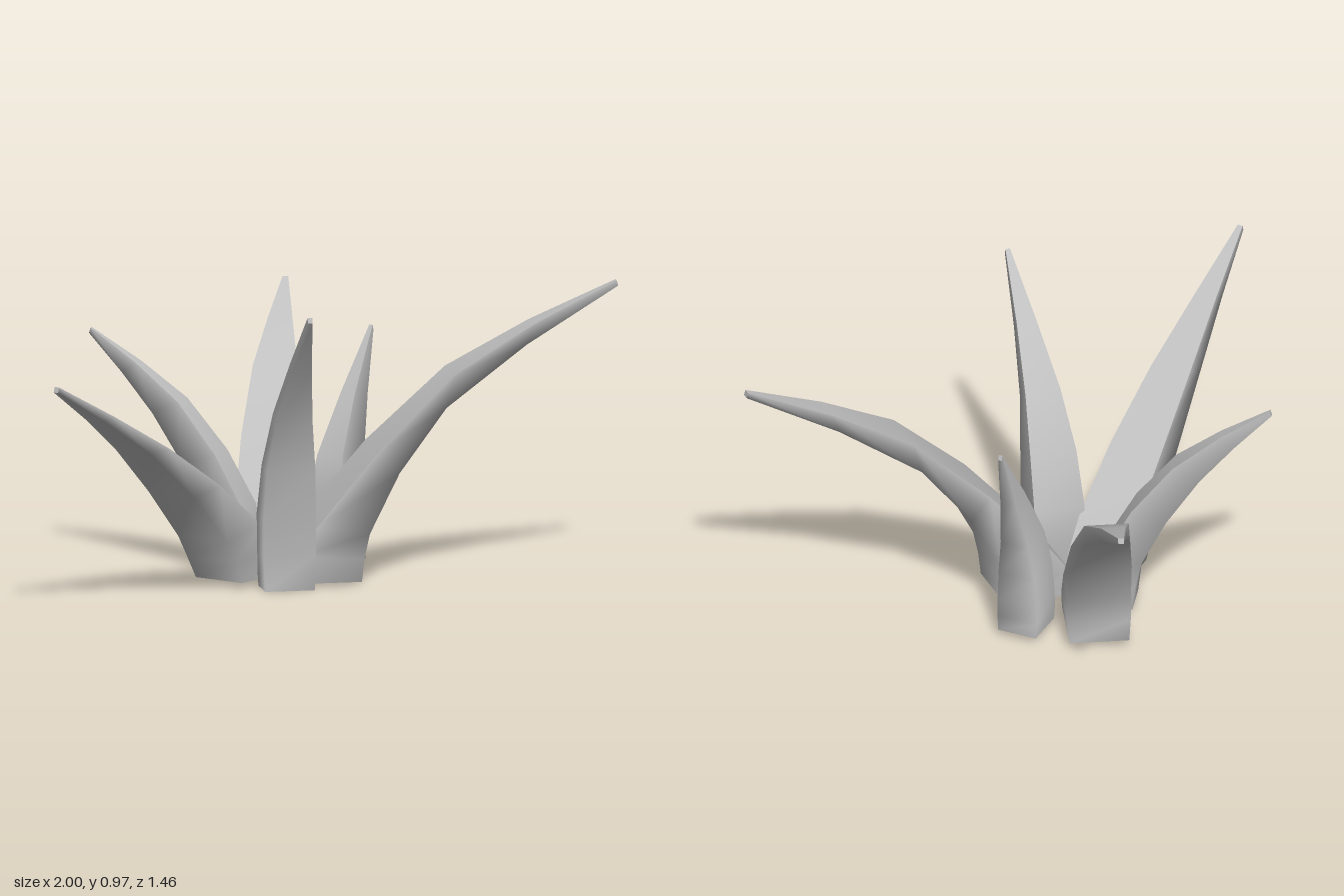
import * as THREE from 'three';

// Share of the full half width at each section from root to tip
const TAPER = [0.94, 1, 1, 0.92, 0.7, 0.39, 0.09];

// Curve of one face in the leaf's upright plane: x is reach from the root, y is height
function profile(...points) {
  const curve = new THREE.CatmullRomCurve3(points.map(([s, y]) => new THREE.Vector3(s, y, 0)));
  return curve.getPoints(TAPER.length - 1);
}

// Leaf with a flat inner face and a rounded back, bending from its root out to its tip
function makeLeaf(name, material, { root, tip, width, depth, inner, outer }) {
  const out = new THREE.Vector3().subVectors(tip, root).setY(0);
  const reach = out.length();
  out.normalize();
  const innerLine = profile([-depth, root.y], ...inner, [reach, tip.y]);
  const outerLine = profile([depth, root.y], ...outer, [reach + 0.005, tip.y - 0.018]);
  const positions = [], index = [];

  // Four corners of each section, two on the inner face and two on the outer
  const corner = (p, side) =>
    [root.x + out.x * p.x + out.z * side, p.y, root.z + out.z * p.x - out.x * side];
  const sections = TAPER.map((share, i) => {
    const w = width * share;
    return [corner(innerLine[i], -w), corner(innerLine[i], w),
      corner(outerLine[i], w), corner(outerLine[i], -w)];
  });

  // Smooth sheet through the given rows of points
  const sheet = (rows) => {
    const first = positions.length / 3, n = rows[0].length;
    rows.forEach((row) => row.forEach((p) => positions.push(...p)));
    for (let r = 0; r < rows.length - 1; r++) {
      for (let c = 0; c < n - 1; c++) {
        const a = first + r * n + c;
        index.push(a, a + 1, a + n + 1, a, a + n + 1, a + n);
      }
    }
  };
  const pick = (...order) => sections.map((q) => order.map((i) => q[i]));
  sheet(pick(1, 0));       // inner face
  sheet(pick(0, 3, 2, 1)); // sides and rounded back
  const base = sections[0], end = sections[sections.length - 1];
  sheet([[base[0], base[1]], [base[3], base[2]]]); // underside
  sheet([[end[0], end[3]], [end[1], end[2]]]);     // blunt tip

  const geometry = new THREE.BufferGeometry();
  geometry.setAttribute('position', new THREE.Float32BufferAttribute(positions, 3));
  geometry.setIndex(index);
  geometry.computeVertexNormals();
  const mesh = new THREE.Mesh(geometry, material);
  mesh.name = name;
  return mesh;
}

export function createModel() {
  const model = new THREE.Group();
  model.name = 'plant';
  const leafGrey = new THREE.MeshStandardMaterial({ color: 0xc0c0c0 });
  leafGrey.name = 'leafGrey';
  const at = (x, y, z) => new THREE.Vector3(x, y, z);

  model.add(
    makeLeaf('leftLeaf', leafGrey, {
      root: at(0.02, 0.02, -0.12), tip: at(-1, 0.795, -0.09), width: 0.1, depth: 0.12,
      inner: [[0.02, 0.2], [0.49, 0.52]], outer: [[0.21, 0.17], [0.6, 0.52]],
    }),
    makeLeaf('frontRightLeaf', leafGrey, {
      root: at(0.177, 0.01, 0.06), tip: at(0.95, 0.967, 0.72), width: 0.125, depth: 0.14,
      inner: [[-0.01, 0.2], [0.46, 0.685]], outer: [[0.165, 0.17], [0.43, 0.575]],
    }),
    makeLeaf('frontLeaf', leafGrey, {
      root: at(0.01, 0, 0.08), tip: at(-0.25, 0.972, 0.38), width: 0.088, depth: 0.06,
      inner: [[-0.07, 0.23], [0.08, 0.6]], outer: [[0.055, 0.24], [0.13, 0.57]],
    }),
    makeLeaf('backLeaf', leafGrey, {
      root: at(0.16, 0.02, -0.23), tip: at(-0.01, 0.785, -0.72), width: 0.068, depth: 0.07,
      inner: [[-0.03, 0.22], [0.2, 0.56]], outer: [[0.1, 0.2], [0.29, 0.52]],
    }),
    makeLeaf('backRightLeaf', leafGrey, {
      root: at(0.33, 0.02, -0.25), tip: at(0.99, 0.817, -0.69), width: 0.105, depth: 0.12,
      inner: [[-0.02, 0.2], [0.34, 0.6]], outer: [[0.11, 0.17], [0.39, 0.555]],
    }),
    makeLeaf('rightLeaf', leafGrey, {
      root: at(0.44, 0.02, -0.05), tip: at(0.64, 0.775, -0.06), width: 0.072, depth: 0.072,
      inner: [[-0.067, 0.13], [-0.035, 0.37]], outer: [[0.068, 0.13], [0.09, 0.37]],
    }),
  );
  return model;
}
